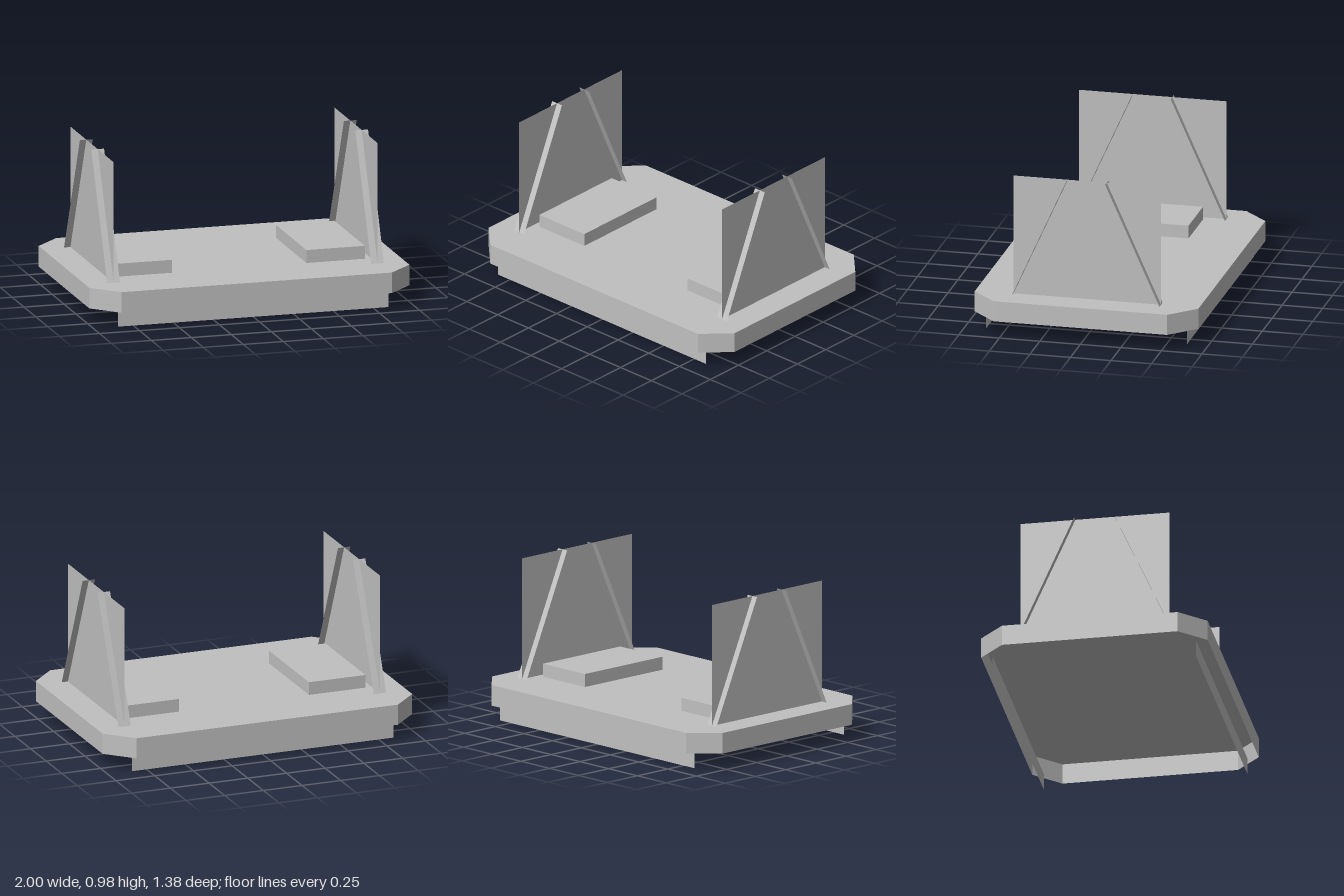
import * as THREE from 'three';

export function createModel() {
  const model = new THREE.Group();
  const grey = new THREE.MeshStandardMaterial({ color: 0xc0c0c0, side: THREE.DoubleSide });
  grey.name = 'plain grey';

  const add = (parent, name, geometry, x, y, z) => {
    const mesh = new THREE.Mesh(geometry, grey);
    mesh.name = name;
    mesh.position.set(x, y, z);
    parent.add(mesh);
    return mesh;
  };

  const low = 0.103, deck = 0.23, top = 0.975;

  // Deck: chamfered outline as [x, z], open underneath
  const outline = [
    [1, -0.535], [1, 0.535], [0.845, 0.69], [-0.845, 0.69],
    [-1, 0.535], [-1, -0.535], [-0.845, -0.69], [0.845, -0.69],
  ];
  const shape = new THREE.Shape(outline.map(([x, z]) => new THREE.Vector2(x, -z)));
  add(model, 'deckTop', new THREE.ShapeGeometry(shape).rotateX(-Math.PI / 2), 0, deck, 0);

  // Rim walls hanging from the deck edge
  const rim = new THREE.Group();
  rim.name = 'deckRim';
  model.add(rim);
  outline.forEach(([ax, az], i) => {
    const [bx, bz] = outline[(i + 1) % outline.length];
    const wall = add(rim, 'rimWall',
      new THREE.PlaneGeometry(Math.hypot(bx - ax, bz - az), deck - low),
      (ax + bx) / 2, (deck + low) / 2, (az + bz) / 2);
    wall.rotation.y = Math.atan2(bz - az, ax - bx);
  });

  // Thin runners below the front and back edges
  for (const s of [1, -1]) {
    const runner = add(model, s > 0 ? 'frontRunner' : 'backRunner',
      new THREE.PlaneGeometry(1.69, low), 0, low / 2, s * 0.62);
    if (s < 0) runner.rotation.y = Math.PI;
  }

  // Upright end panel, two leaning braces and a low pad on each side
  const height = top - deck, run = 0.335;
  for (const s of [1, -1]) {
    const end = new THREE.Group();
    end.name = s > 0 ? 'leftEnd' : 'rightEnd';
    model.add(end);

    const panel = add(end, 'endPanel', new THREE.PlaneGeometry(0.91, height),
      s * 0.825, (top + deck) / 2, 0);
    panel.rotation.y = s * Math.PI / 2;

    // Braces pass through the panel, from its foot corners to its top edge
    for (const f of [1, -1]) {
      const brace = add(end, f > 0 ? 'frontBrace' : 'backBrace',
        new THREE.PlaneGeometry(0.08, Math.hypot(run, height))
          .rotateX(-Math.atan2(run, height)),
        s * 0.825, (top + deck) / 2, f * (0.455 - run / 2));
      if (f < 0) brace.rotation.y = Math.PI;
    }

    add(end, 'pad', new THREE.BoxGeometry(0.365, 0.08, 0.64), s * 0.6025, deck + 0.04, 0);
  }

  return model;
}
